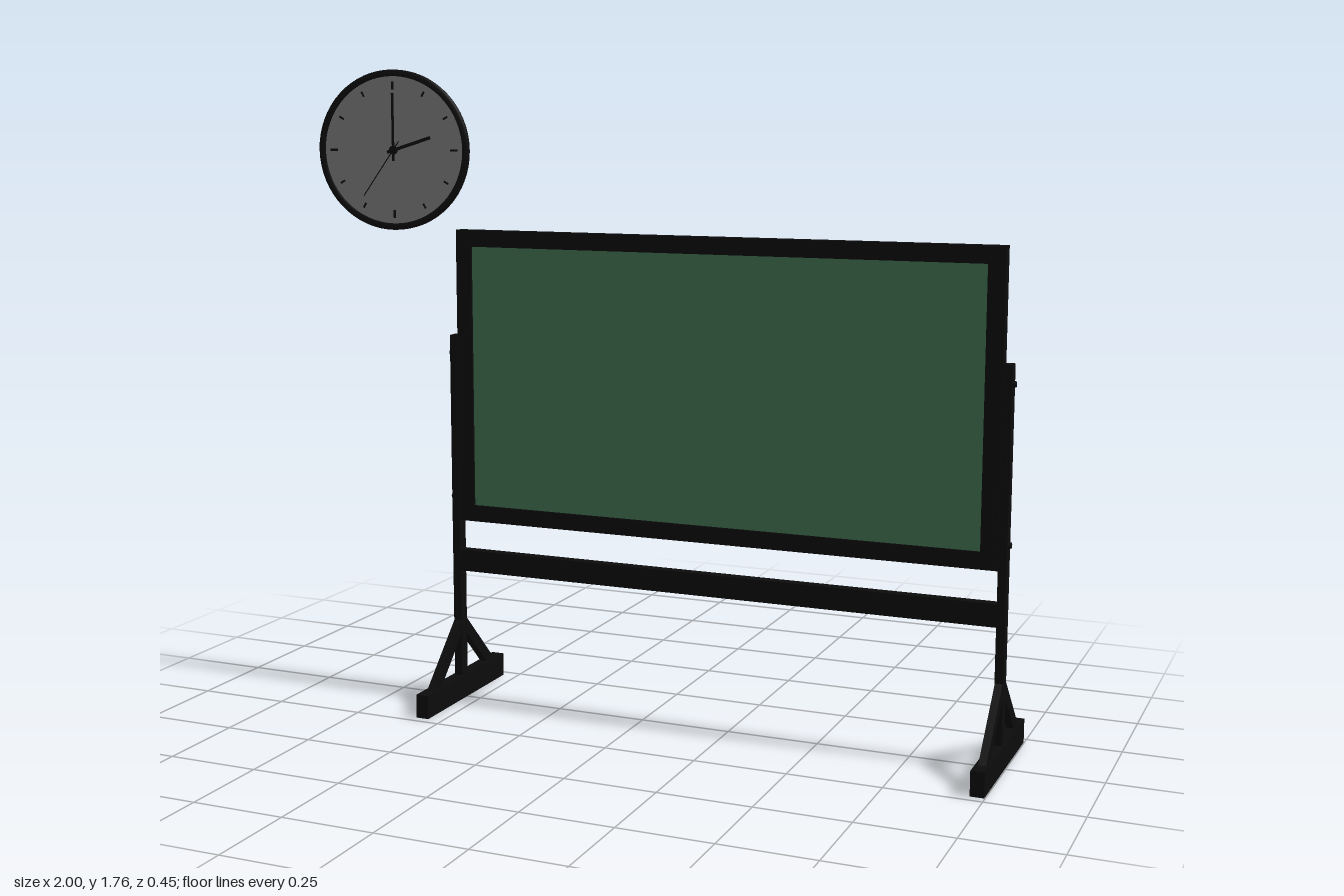
import * as THREE from 'three';

const mat = (name, color, side = THREE.FrontSide) => {
  const m = new THREE.MeshStandardMaterial({ color, side });
  m.name = name;
  return m;
};

export function createModel() {
  const black = mat('black', 0x0b0b0b);
  const green = mat('chalkGreen', 0x407050);
  const grey = mat('dialGrey', 0x747474);

  const root = new THREE.Group();
  root.name = 'chalkboardAndClock';

  const add = (parent, name, geometry, material, x = 0, y = 0, z = 0) => {
    const m = new THREE.Mesh(geometry, material);
    m.name = name;
    m.position.set(x, y, z);
    parent.add(m);
    return m;
  };
  const box = (parent, name, w, h, d, x, y, z, material = black) =>
    add(parent, name, new THREE.BoxGeometry(w, h, d), material, x, y, z);

  // Rolling board, centred on its own x = 0
  const board = new THREE.Group();
  board.name = 'board';
  board.position.x = 0.21;
  root.add(board);

  // Frame with a rectangular opening
  const rect = (P, x0, y0, x1, y1) => {
    const p = new P();
    p.moveTo(x0, y0);
    p.lineTo(x1, y0);
    p.lineTo(x1, y1);
    p.lineTo(x0, y1);
    p.closePath();
    return p;
  };
  const frame = rect(THREE.Shape, -0.758, 0.515, 0.758, 1.325);
  frame.holes.push(rect(THREE.Path, -0.713, 0.56, 0.713, 1.28));
  add(board, 'boardFrame', new THREE.ExtrudeGeometry(frame, { depth: 0.032, bevelEnabled: false }), black, 0, 0, -0.016);
  box(board, 'writingPanel', 1.426, 0.72, 0.018, 0, 0.92, 0, green);
  box(board, 'crossBar', 1.53, 0.06, 0.03, 0, 0.4, 0);

  // Stand on each side: foot, post, braces and pivot bolts
  for (const s of [-1, 1]) {
    const stand = new THREE.Group();
    stand.name = s < 0 ? 'rightStand' : 'leftStand';
    stand.position.x = s * 0.77;
    board.add(stand);
    box(stand, 'foot', 0.036, 0.065, 0.45, 0, 0.0325, 0);
    box(stand, 'post', 0.022, 0.975, 0.034, 0, 0.5475, 0);
    for (const k of [-1, 1]) {
      const brace = box(stand, 'brace', 0.02, 0.245, 0.032, 0, 0.135, k * 0.086);
      brace.rotation.x = -k * Math.PI / 4;
    }
    for (const y of [0.58, 0.985]) {
      const bolt = add(stand, 'bolt', new THREE.CylinderGeometry(0.008, 0.008, 0.036, 12), black, 0, y, 0);
      bolt.rotation.z = Math.PI / 2;
    }
  }

  // Wall clock, turned slightly about the vertical
  const clock = new THREE.Group();
  clock.name = 'clock';
  clock.position.set(-0.777, 1.537, -0.052);
  clock.rotation.y = 0.15;
  root.add(clock);

  const rimProfile = [[0.204, -0.01], [0.217, -0.01], [0.222, -0.005], [0.222, 0.006], [0.217, 0.01], [0.207, 0.01], [0.204, 0.007], [0.204, -0.01]]
    .map(([r, y]) => new THREE.Vector2(r, y));
  const rim = add(clock, 'rim', new THREE.LatheGeometry(rimProfile, 64), black);
  rim.rotation.x = Math.PI / 2;
  const back = add(clock, 'backPlate', new THREE.CylinderGeometry(0.206, 0.206, 0.01, 64), black, 0, 0, -0.004);
  back.rotation.x = Math.PI / 2;
  box(clock, 'movementBox', 0.09, 0.09, 0.004, 0, 0, -0.01);
  add(clock, 'dial', new THREE.CircleGeometry(0.206, 64), grey, 0, 0, 0.003);

  // Hour marks, longer at the quarters
  for (let i = 0; i < 12; i++) {
    const a = i * Math.PI / 6;
    const quarter = i % 3 === 0;
    const mark = box(clock, 'hourMark', quarter ? 0.006 : 0.005, quarter ? 0.022 : 0.015, 0.002,
      Math.sin(a) * 0.178, Math.cos(a) * 0.178, 0.004);
    mark.rotation.z = -a;
  }

  // Hands: angle clockwise from twelve, tail, length, width, depth
  const hands = [
    ['hourHand', 1.26, 0.02, 0.115, 0.009, 0.005],
    ['minuteHand', 0, 0.03, 0.157, 0.007, 0.007],
    ['secondHand', 3.755, 0.03, 0.155, 0.0025, 0.009],
  ];
  for (const [name, a, tail, length, width, z] of hands) {
    const mid = (length - tail) / 2;
    const hand = box(clock, name, width, length + tail, 0.0015, Math.sin(a) * mid, Math.cos(a) * mid, z);
    hand.rotation.z = -a;
  }
  const hub = add(clock, 'hub', new THREE.CylinderGeometry(0.012, 0.012, 0.007, 20), black, 0, 0, 0.0065);
  hub.rotation.x = Math.PI / 2;

  return root;
}
